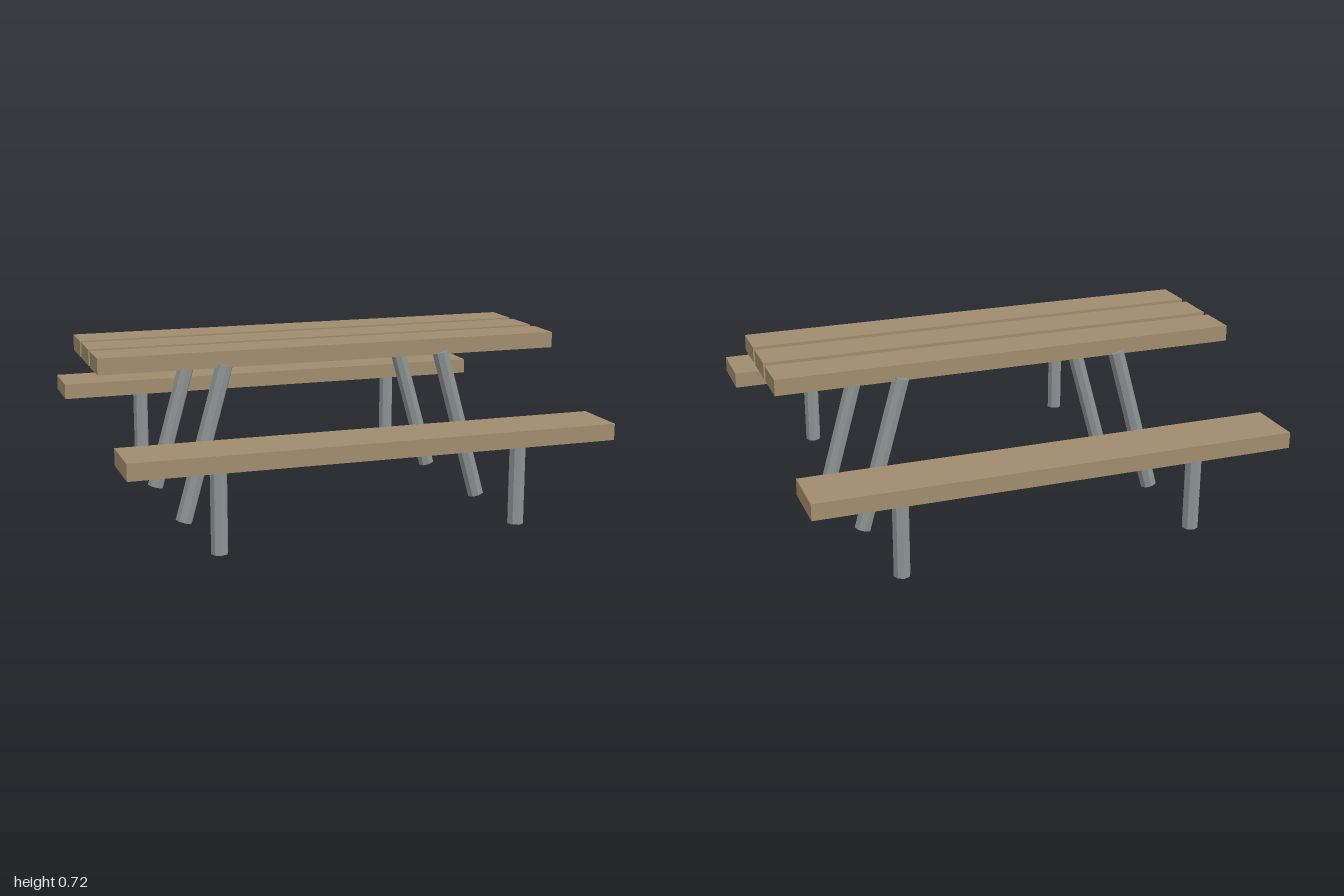
import * as THREE from 'three';

export function createModel() {
  const group = new THREE.Group();
  const wood = new THREE.MeshStandardMaterial({ color: 0xa08c6e, flatShading: true });
  const metal = new THREE.MeshStandardMaterial({ color: 0x8c9292, flatShading: true });

  // Full-length board centred on x
  const board = (name, y, z, height, depth) => {
    const mesh = new THREE.Mesh(new THREE.BoxGeometry(2, height, depth), wood);
    mesh.position.set(0, y, z);
    mesh.name = name;
    group.add(mesh);
  };

  // Octagonal post running between two points in a plane of constant z
  const post = (name, radius, bottom, top, z) => {
    const dx = top[0] - bottom[0];
    const dy = top[1] - bottom[1];
    const mesh = new THREE.Mesh(new THREE.CylinderGeometry(radius, radius, Math.hypot(dx, dy), 8), metal);
    mesh.position.set((top[0] + bottom[0]) / 2, (top[1] + bottom[1]) / 2, z);
    mesh.rotation.z = -Math.atan2(dx, dy);
    mesh.name = name;
    group.add(mesh);
  };

  // Table top: three planks
  for (const z of [-0.21, 0, 0.21]) board('tablePlank', 0.684, z, 0.068, 0.173);

  for (const sz of [-1, 1]) {
    const end = sz > 0 ? 'front' : 'back';
    board(end + 'BenchSeat', 0.398, sz * 0.739, 0.068, 0.242);
    for (const sx of [-1, 1]) {
      const side = sx > 0 ? 'Left' : 'Right';
      // Splayed table legs and upright bench legs
      post(end + side + 'TableLeg', 0.036, [sx * 0.66, 0.01], [sx * 0.477, 0.66], sz * 0.28);
      post(end + side + 'BenchLeg', 0.034, [sx * 0.627, 0.015], [sx * 0.627, 0.38], sz * 0.74);
    }
  }
  return group;
}
